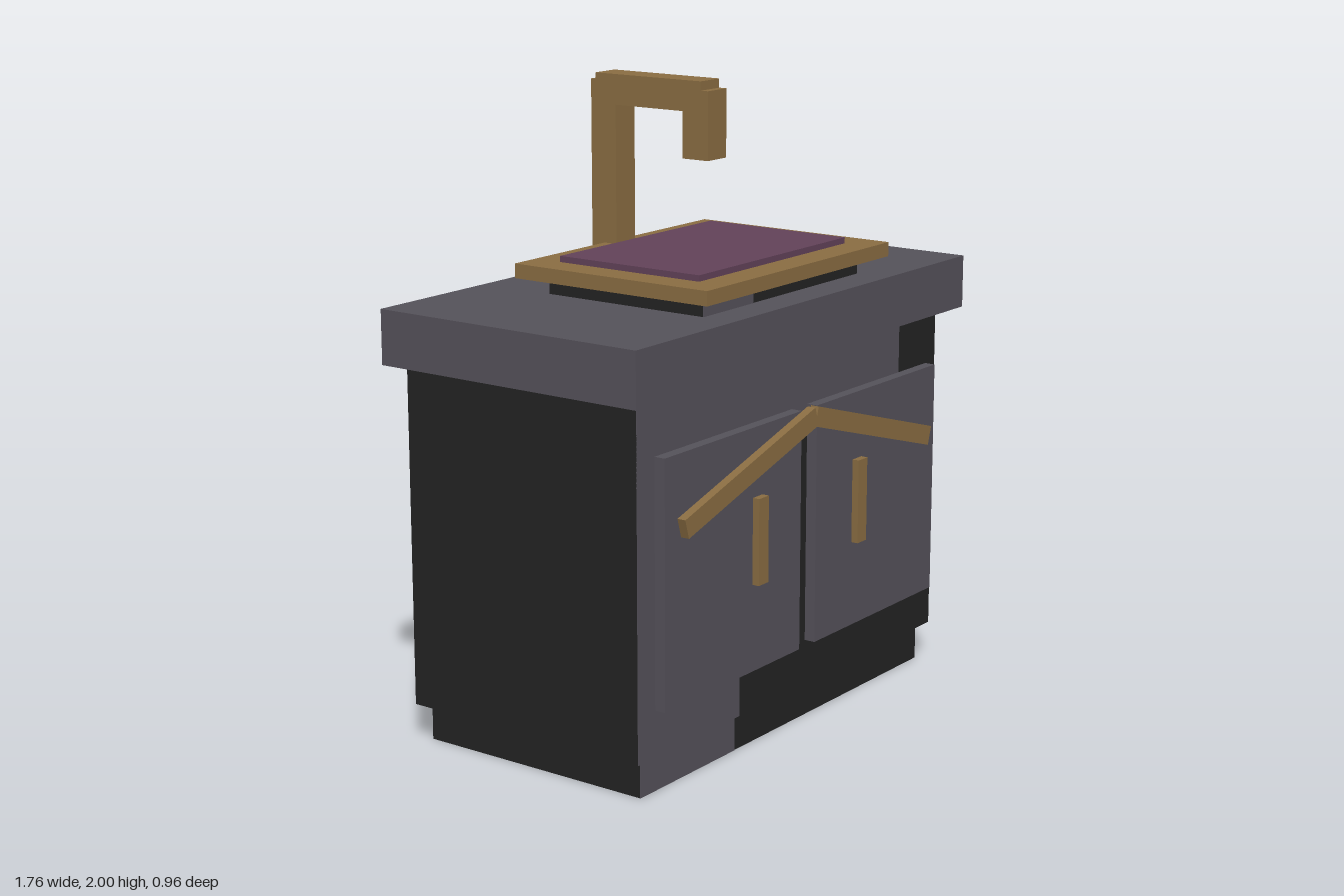
import * as THREE from 'three';

function material(name, color) {
  const m = new THREE.MeshStandardMaterial({ color });
  m.name = name;
  return m;
}

export function createModel() {
  const model = new THREE.Group();
  model.name = 'sinkCabinet';
  const slate = material('slate grey', 0x55525a);
  const dark = material('charcoal', 0x232323);
  const brass = material('brass', 0x8a6d42);
  const plum = material('plum', 0x624259);

  // Box given by its limits on each axis
  function box(name, mat, [x0, x1], [y0, y1], [z0, z1], parent = model) {
    const mesh = new THREE.Mesh(new THREE.BoxGeometry(x1 - x0, y1 - y0, z1 - z0), mat);
    mesh.position.set((x0 + x1) / 2, (y0 + y1) / 2, (z0 + z1) / 2);
    mesh.name = name;
    parent.add(mesh);
    return mesh;
  }

  // Thin grey panel on a front face
  const panel = (name, x, y, z) => box(name, slate, x, y, [z - 0.001, z + 0.002]);

  // Cabinet
  box('plinth', dark, [-0.763, 0.763], [0, 0.12], [-0.42, 0.385]);
  box('cabinetBody', dark, [-0.805, 0.805], [0.12, 1.2], [-0.45, 0.41]);
  box('countertop', slate, [-0.88, 0.88], [1.2, 1.37], [-0.48, 0.467]);

  // Grey areas of the cabinet front
  panel('plinthPanel', [-0.763, -0.29], [0, 0.12], 0.385);
  panel('lowerPanel', [-0.805, -0.3], [0.12, 0.27], 0.41);
  panel('sidePanel', [-0.805, -0.3], [0.27, 1.0], 0.41);
  panel('upperPanel', [-0.805, 0.58], [1.0, 1.2], 0.41);

  // Doors, handles and the sloping trim, mirrored
  for (const s of [-1, 1]) {
    const side = s > 0 ? 'left' : 'right';
    const span = (a, b) => (s > 0 ? [a, b] : [-b, -a]);
    box(side + 'Door', slate, span(0.042, 0.733), [0.27, 1.03], [0.419, 0.455]);
    box(side + 'Handle', brass, span(0.247, 0.297), [0.545, 0.815], [0.453, 0.478]);

    const start = new THREE.Vector2(0, 1.008);
    const end = new THREE.Vector2(0.664 * s, 0.81);
    const trim = new THREE.Mesh(new THREE.BoxGeometry(start.distanceTo(end), 0.062, 0.028), brass);
    trim.position.set((start.x + end.x) / 2, (start.y + end.y) / 2, 0.469);
    trim.rotation.z = Math.atan2(end.y - start.y, Math.abs(end.x)) * s;
    trim.name = side + 'Trim';
    model.add(trim);
  }

  // Basin
  box('basinNeck', dark, [-0.412, 0.412], [1.37, 1.422], [-0.22, 0.355]);
  panel('basinNeckPanel', [-0.412, -0.16], [1.37, 1.41], 0.355);
  box('basinRim', brass, [-0.487, 0.487], [1.422, 1.467], [-0.293, 0.423]);
  box('basinInset', plum, [-0.388, 0.388], [1.46, 1.486], [-0.197, 0.323]);

  // Faucet
  const faucet = new THREE.Group();
  faucet.name = 'faucet';
  model.add(faucet);
  const width = [-0.048, 0.048];
  box('faucetPost', brass, width, [1.43, 1.98], [-0.342, -0.246], faucet);
  box('faucetArm', brass, width, [1.905, 2.0], [-0.324, 0.08], faucet);
  box('faucetSpout', brass, width, [1.76, 1.972], [0.012, 0.107], faucet);

  return model;
}
